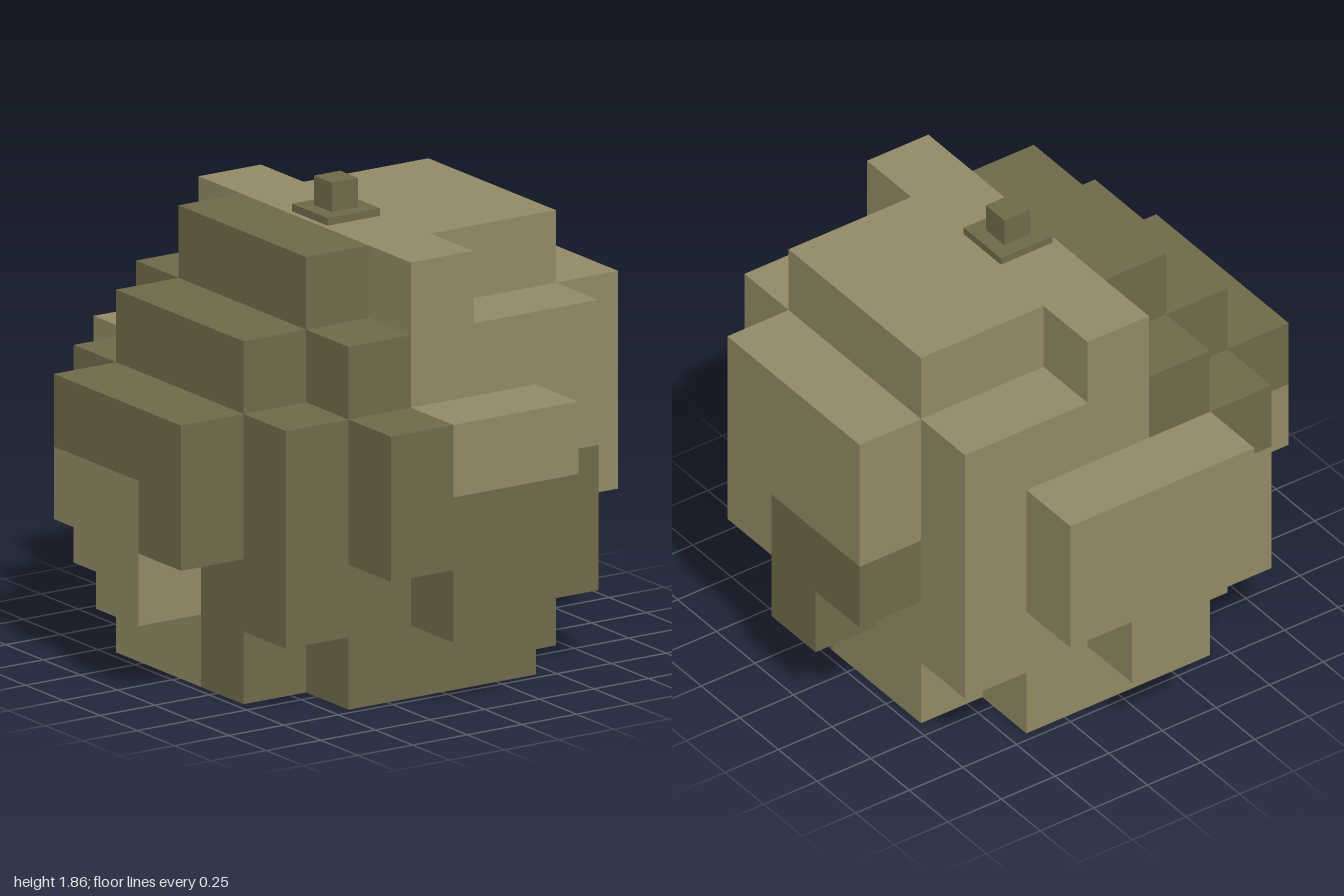
import * as THREE from 'three';

const U = 2 / 7; // edge length of one grid cell

export function createModel() {
  const light = new THREE.MeshStandardMaterial({ color: 0x918965 });
  light.name = 'lightOlive';
  const dark = new THREE.MeshStandardMaterial({ color: 0x6f694a });
  dark.name = 'darkOlive';

  const model = new THREE.Group();
  model.name = 'blockySphere';

  // Block between cell edges: x and z run 0..7, y runs upward from 0
  function block(group, material, [x0, x1, y0, y1, z0, z1]) {
    const geometry = new THREE.BoxGeometry((x1 - x0) * U, (y1 - y0) * U, (z1 - z0) * U);
    const mesh = new THREE.Mesh(geometry, material);
    mesh.position.set(((x0 + x1) / 2 - 3.5) * U, ((y0 + y1) / 2) * U, ((z0 + z1) / 2 - 3.5) * U);
    mesh.name = `${group.name}Block`;
    group.add(mesh);
  }

  function part(name, lightBlocks, darkBlocks) {
    const group = new THREE.Group();
    group.name = name;
    lightBlocks.forEach((b) => block(group, light, b));
    darkBlocks.forEach((b) => block(group, dark, b));
    model.add(group);
  }

  // Lower body: light back, dark front, corners cut away at the base
  part('lowerBody',
    [[1, 6, 1, 3, 1, 4], [1, 6, 0, 1, 2, 4], [2, 5, 0, 1, 1, 2]],
    [[1, 6, 1, 3, 4, 6], [1, 6, 0, 1, 4, 5], [2, 5, 0, 1, 5, 6]]);

  // Upper body: light left half, dark stepped right half
  part('upperBody',
    [[3, 6, 3, 5, 1, 6], [3, 6, 5, 6, 2, 5], [3, 4, 5, 6, 1, 2], [3, 4, 5, 6, 5, 6]],
    [[1, 3, 3, 4, 1, 6], [1, 3, 4, 5, 2, 5], [2, 3, 4, 5, 1, 2], [2, 3, 4, 5, 5, 6],
      [2, 3, 5, 6, 2, 5]]);

  // Raised panels, each with a single tab hanging below
  part('frontPanel',
    [[3, 5, 3, 4, 6, 7]],
    [[2, 3, 3, 4, 6, 7], [2, 5, 2, 3, 6, 7], [3, 4, 1, 2, 6, 7]]);
  part('backPanel',
    [[2, 5, 2, 4, 0, 1], [3, 4, 1, 2, 0, 1]],
    []);
  part('leftPanel',
    [[6, 7, 3, 5, 2, 5], [6, 7, 2, 3, 4, 5]],
    [[6, 7, 2, 3, 2, 4], [6, 7, 1, 2, 3, 4]]);
  part('rightPanel',
    [[0, 1, 2, 3, 2, 4], [0, 1, 1, 2, 3, 4]],
    [[0, 1, 3, 4, 2, 5], [0, 1, 2, 3, 4, 5]]);

  // Stem on a thin square collar
  const top = 6 * U;
  const collar = new THREE.Mesh(new THREE.BoxGeometry(0.24, 0.03, 0.24), dark);
  collar.name = 'stemCollar';
  collar.position.y = top + 0.015;
  const stem = new THREE.Mesh(new THREE.BoxGeometry(0.12, 0.115, 0.12), dark);
  stem.name = 'stem';
  stem.position.y = top + 0.03 + 0.0575;
  model.add(collar, stem);

  return model;
}
